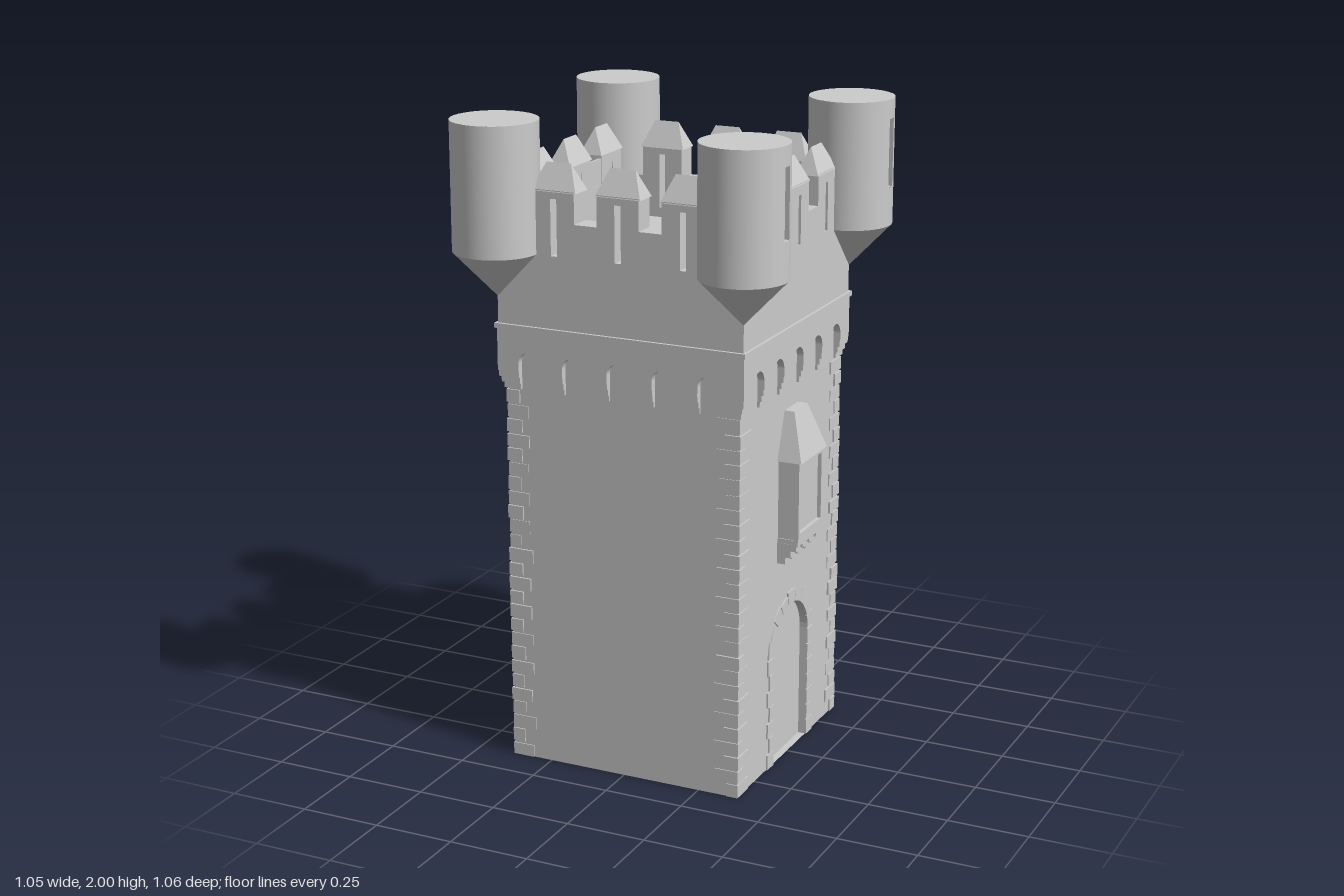
import * as THREE from 'three';

const W = 0.378; // half width of the shaft
const P = 0.397; // half width of the parapet
const mat = new THREE.MeshStandardMaterial({ color: 0xcccccc });
const thin = new THREE.MeshStandardMaterial({ color: 0xcccccc, side: THREE.DoubleSide });
const inside = new THREE.MeshStandardMaterial({ color: 0xcccccc, side: THREE.BackSide });

function add(parent, name, geo, material = mat) {
  const mesh = new THREE.Mesh(geo, material);
  mesh.name = name;
  parent.add(mesh);
  return mesh;
}

// Box given by its limits on each axis
function block(parent, name, x0, x1, y0, y1, z0, z1, material = mat) {
  const mesh = add(parent, name, new THREE.BoxGeometry(x1 - x0, y1 - y0, z1 - z0), material);
  mesh.position.set((x0 + x1) / 2, (y0 + y1) / 2, (z0 + z1) / 2);
  return mesh;
}

// Hipped roof: a box whose top is shrunk and shifted in z
function hip(w, d, h, topW, topD, shift = 0) {
  const geo = new THREE.BoxGeometry(w, h, d).toNonIndexed();
  const p = geo.attributes.position;
  for (let i = 0; i < p.count; i++) {
    if (p.getY(i) > 0) {
      p.setX(i, p.getX(i) * topW / w);
      p.setZ(i, p.getZ(i) * topD / d + shift);
    }
  }
  geo.computeVertexNormals();
  return geo;
}

function polygon(points) {
  return new THREE.Shape(points.map(([x, y]) => new THREE.Vector2(x, y)));
}

function rect(x0, x1, y0, y1) {
  return polygon([[x0, y0], [x1, y0], [x1, y1], [x0, y1]]);
}

function extrude(parent, name, shape, z0, z1) {
  const geo = new THREE.ExtrudeGeometry(shape, { depth: z1 - z0, bevelEnabled: false, curveSegments: 12 });
  return add(parent, name, geo.translate(0, 0, z0));
}

// Round-headed opening
function archShape(cx, r, y0, spring) {
  const s = new THREE.Shape();
  s.moveTo(cx - r, y0);
  s.lineTo(cx + r, y0);
  s.lineTo(cx + r, spring);
  s.absarc(cx, spring, r, 0, Math.PI, false);
  s.lineTo(cx - r, y0);
  return s;
}

// Arched frieze on stepped corbels
function buildCorbelTable(side) {
  const centres = [-0.292, -0.146, 0, 0.146, 0.292], r = 0.038, E = 0.4, base = 1.245;
  const s = new THREE.Shape();
  s.moveTo(-E, base);
  for (const c of centres) {
    s.lineTo(c - r, base);
    s.lineTo(c - r, 1.272);
    s.absarc(c, 1.272, r, Math.PI, 0, true);
    s.lineTo(c + r, base);
  }
  s.lineTo(E, base);
  s.lineTo(E, 1.38);
  s.lineTo(-E, 1.38);
  extrude(side, 'archedFrieze', s, W - 0.01, E);
  for (let i = 0; i <= centres.length; i++) {
    for (let k = 0; k < 3; k++) {
      const out = W + 0.008 + k * 0.006;
      const x0 = i === 0 ? -out : centres[i - 1] + r;
      const x1 = i === centres.length ? out : centres[i] - r;
      block(side, 'corbel', x0, x1, 1.19 + k * 0.0185, 1.2085 + k * 0.0185, W - 0.01, out);
    }
  }
}

// Crenellated parapet with arrow slits and hipped merlon caps
function buildParapet(side, onFlank) {
  const centres = [-0.207, 0, 0.207], half = 0.067;
  const pts = [[-P, 1.385], [P, 1.385], [P, 1.71]];
  for (const c of [...centres].reverse()) {
    pts.push([c + half, 1.71], [c + half, 1.805], [c - half, 1.805], [c - half, 1.71]);
  }
  pts.push([-P, 1.71]);
  const wall = polygon(pts);
  const [hw, y0, y1] = onFlank ? [0.009, 1.62, 1.77] : [0.01, 1.61, 1.78];
  for (const c of centres) {
    wall.holes.push(rect(c - hw, c + hw, y0, y1));
    add(side, 'merlonCap', hip(0.146, 0.076, 0.08, 0.08, 0)).position.set(c, 1.84, 0.36);
  }
  extrude(side, 'parapet', wall, 0.325, P);
}

// Door and bay window on one face
function buildDoor(side) {
  const cx = 0.015, r = 0.13, spring = 0.36;
  add(side, 'doorPanel', new THREE.ShapeGeometry(archShape(cx, r + 0.002, 0, spring)), thin).position.z = W - 0.022;
  const reveal = archShape(cx, r, 0, spring);
  const frame = archShape(cx, r + 0.004, 0, spring);
  frame.holes.push(reveal);
  extrude(side, 'doorReveal', frame, W - 0.022, W + 0.001);
  // Jamb stones of alternating length
  for (let i = 0; i < 7; i++) {
    const len = i % 2 ? 0.032 : 0.046, h = spring / 7;
    for (const s of [-1, 1]) {
      const a = cx + s * r, b = cx + s * (r + len);
      block(side, 'jambStone', Math.min(a, b), Math.max(a, b), i * h, (i + 1) * h - 0.003, W - 0.01, W + 0.005);
    }
  }
  // Wedge stones round the arch
  const n = 9;
  for (let i = 0; i < n; i++) {
    const a0 = Math.PI * i / n + 0.01, a1 = Math.PI * (i + 1) / n - 0.01;
    const s = new THREE.Shape();
    s.absarc(cx, spring, r + (i % 2 ? 0.032 : 0.042), a0, a1, false);
    s.absarc(cx, spring, r, a1, a0, true);
    extrude(side, 'archStone', s, W - 0.01, W + 0.005);
  }
}

function buildBay(side) {
  block(side, 'bayBody', -0.09, 0.09, 0.73, 0.985, W - 0.01, 0.434);
  const frame = rect(-0.093, 0.093, 0.73, 0.985);
  frame.holes.push(rect(-0.081, 0.081, 0.755, 0.965));
  extrude(side, 'bayFrame', frame, 0.43, 0.446);
  add(side, 'bayRoof', hip(0.2, 0.085, 0.145, 0.1, 0.04, -0.0225)).position.set(0, 1.0525, 0.4125);
  block(side, 'baySill', -0.093, 0.093, 0.715, 0.735, W - 0.01, 0.444);
  for (let i = 0; i < 4; i++) {
    const x = -0.078 + i * 0.052;
    for (let k = 0; k < 3; k++) {
      block(side, 'bayCorbel', x - 0.016, x + 0.016, 0.655 + k * 0.022, 0.677 + k * 0.022, W - 0.01, 0.405 + k * 0.017);
    }
  }
}

// Corner turret with pointed base and a recessed slit on its outer flank
function buildTurret(sx, sz) {
  const g = new THREE.Group();
  g.name = 'turret';
  const R = 0.131, y0 = 1.61, y1 = 2, s0 = 1.73, s1 = 1.94, a = 0.125;
  const mid = Math.PI / 2 * sx; // cylinder angle that faces outwards along x
  const shell = (lo, hi, start, len, seg) =>
    add(g, 'turretWall', new THREE.CylinderGeometry(R, R, hi - lo, seg, 1, true, start, len)).position.y = (lo + hi) / 2;
  shell(y0, y1, mid + a, Math.PI * 2 - 2 * a, 44);
  shell(y0, s0, mid - a, 2 * a, 2);
  shell(s1, y1, mid - a, 2 * a, 2);
  const hw = R * Math.sin(a), x = R * Math.cos(a);
  block(g, 'turretSlit', Math.min(sx * 0.1, sx * x), Math.max(sx * 0.1, sx * x), s0, s1, -hw, hw, inside);
  const top = add(g, 'turretTop', new THREE.CircleGeometry(R, 48));
  top.rotation.x = -Math.PI / 2;
  top.position.y = y1;
  add(g, 'turretBase', new THREE.CylinderGeometry(R, 0.002, 0.135, 48, 1, true)).position.y = y0 - 0.0675;
  g.position.set(sx * 0.396, 0, sz * 0.398);
  return g;
}

export function createModel() {
  const tower = new THREE.Group();
  tower.name = 'castleTower';
  let seed = 7;
  const rand = () => (seed = (seed * 16807) % 2147483647) / 2147483647;

  // Four faces of the shaft, each built facing +z and turned into place
  for (let k = 0; k < 4; k++) {
    const side = new THREE.Group();
    side.name = ['frontSide', 'leftSide', 'backSide', 'rightSide'][k];
    side.rotation.y = k * Math.PI / 2;
    const wall = rect(-W, W, 0, 1.38);
    if (k === 1) {
      wall.holes.push(archShape(0.015, 0.13, 0.0005, 0.36));
      buildDoor(side);
      buildBay(side);
    }
    add(side, 'shaftWall', new THREE.ShapeGeometry(wall), thin).position.z = W;
    buildCorbelTable(side);
    buildParapet(side, k % 2 === 1);
    if (k === 3) block(side, 'slitBacking', -0.24, 0.24, 1.6, 1.79, 0.327, 0.335);

    // Rough corner stones, long and short in turn
    const courses = 26, h = 1.19 / courses;
    for (let i = 0; i < courses; i++) {
      const lx = (i % 2 ? 0.065 : 0.035) + rand() * 0.012;
      const lz = (i % 2 ? 0.035 : 0.065) + rand() * 0.012;
      const out = W + 0.002 + rand() * 0.004;
      block(side, 'cornerStone', W - lx, out, i * h, (i + 1) * h - 0.004 - rand() * 0.004, W - lz, out);
    }
    tower.add(side);
  }

  block(tower, 'stringCourse', -0.406, 0.406, 1.376, 1.391, -0.406, 0.406);
  block(tower, 'roofDeck', -0.33, 0.33, 1.56, 1.58, -0.33, 0.33);
  for (const sx of [-1, 1]) for (const sz of [-1, 1]) tower.add(buildTurret(sx, sz));
  return tower;
}
